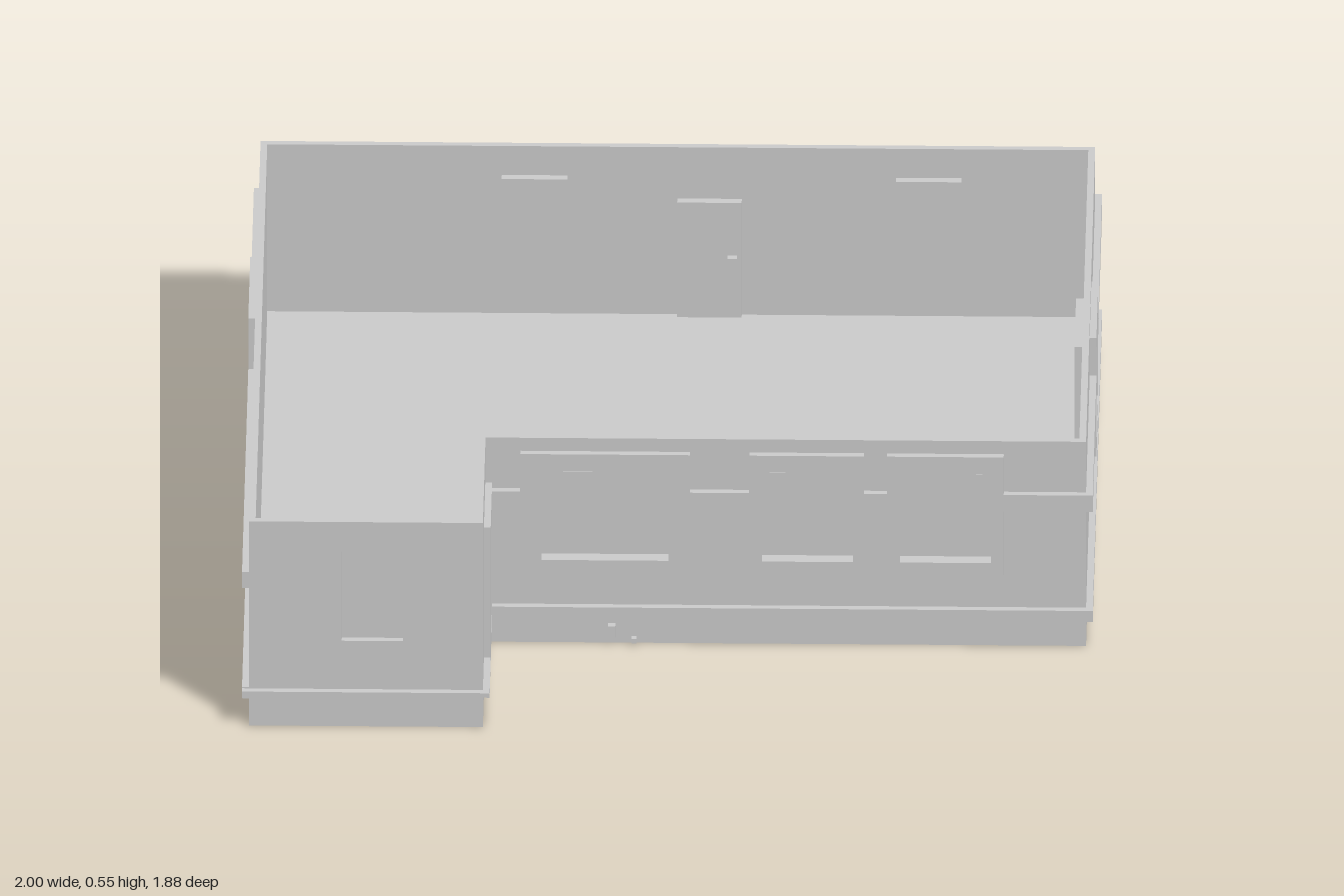
import * as THREE from 'three';

const T = 0.016; // wall thickness and relief of trims and frames
const material = new THREE.MeshStandardMaterial({ color: 0xcccccc, flatShading: true });

function add(parent, name, geometry) {
  const mesh = new THREE.Mesh(geometry, material);
  mesh.name = name;
  parent.add(mesh);
  return mesh;
}

// Box given by its limits
function block(parent, name, x0, x1, y0, y1, z0, z1) {
  const mesh = add(parent, name, new THREE.BoxGeometry(x1 - x0, y1 - y0, z1 - z0));
  mesh.position.set((x0 + x1) / 2, (y0 + y1) / 2, (z0 + z1) / 2);
}

function rectPoints([x0, x1, y0, y1]) {
  return [[x0, y0], [x1, y0], [x1, y1], [x0, y1]].map(([x, y]) => new THREE.Vector2(x, y));
}

// Upright slab with rectangular openings, from z0 outwards by one thickness
function slab(parent, name, rect, holes, z0) {
  const shape = new THREE.Shape(rectPoints(rect));
  for (const h of holes) shape.holes.push(new THREE.Path(rectPoints(h)));
  const geometry = new THREE.ExtrudeGeometry(shape, { depth: T, bevelEnabled: false });
  geometry.translate(0, 0, z0);
  add(parent, name, geometry);
}

// Horizontal band along a wall, interrupted by the frames it meets
function trim(parent, name, u0, u1, y0, y1, frames) {
  let start = u0;
  const gaps = frames.filter((f) => f[2] < y1 && f[3] > y0).sort((a, b) => a[0] - b[0]);
  for (const f of gaps) {
    block(parent, name, start, f[0], y0, y1, 0, T);
    start = f[1];
  }
  block(parent, name, start, u1, y0, y1, 0, T);
}

// One wall with its openings; local x runs along it, local z points outwards
function wall(model, { name, turn, at, span, band, upper, lower, openings = [], panel }) {
  const side = new THREE.Group();
  side.name = name;
  side.rotation.y = turn * Math.PI / 2;
  side.position.set(...at);
  model.add(side);

  slab(side, 'wall', [...span, 0, 0.55], openings.map((o) => o.hole), -T);
  const frames = openings.filter((o) => o.frame).map((o) => o.frame);
  if (panel) frames.push(panel);
  if (upper) trim(side, 'upperTrim', ...band, ...upper, frames);
  if (lower) trim(side, 'lowerTrim', ...band, ...lower, frames);

  for (const { hole, frame, sash, handle } of openings) {
    if (frame) slab(side, 'frame', frame, [hole], 0);
    const [x0, x1, y0, y1] = hole;
    // Pane or door leaf set behind the wall, a little larger than the opening
    block(side, handle ? 'doorLeaf' : 'windowPane', x0 - 0.011, x1 + 0.011, y0 - 0.012, y1 + 0.012, -T - 0.02, -T);
    if (sash) block(side, 'sash', ...sash, -T, -T + 0.006);
    if (handle) block(side, 'doorHandle', ...handle, -T - 0.036, -T + 0.012);
  }
  return side;
}

export function createModel() {
  const model = new THREE.Group();
  model.name = 'house';

  // Floor slab in two rectangles
  block(model, 'mainFloor', -0.97, 0.97, 0.085, 0.1, -0.912, 0.496);
  block(model, 'wingFloor', -0.97, -0.446, 0.085, 0.1, 0.496, 0.912);

  const upper = [0.37, 0.414];
  const lower = [0.073, 0.103];
  const thin = [0.088, 0.1];

  const front = wall(model, {
    name: 'mainFront', turn: 0, at: [0, 0, 0.509], span: [-0.448, 0.984], band: [-0.432, 1], upper, lower,
    openings: [
      { frame: [-0.35, 0.05, 0.195, 0.515], hole: [-0.3, 0, 0.23, 0.47], sash: [-0.28, -0.155, 0.245, 0.455] },
      { frame: [0.19, 0.46, 0.195, 0.515], hole: [0.22, 0.435, 0.23, 0.47], sash: [0.235, 0.275, 0.245, 0.455] },
      { frame: [0.515, 0.79, 0.195, 0.515], hole: [0.545, 0.76, 0.23, 0.47], sash: [0.7, 0.74, 0.245, 0.455] },
    ],
  });
  // Small outlets at the base
  block(front, 'outletBox', -0.143, -0.126, 0.02, 0.052, 0, T);
  block(front, 'outletPipe', -0.088, -0.076, 0.006, 0.018, 0, T);

  wall(model, {
    name: 'wingFront', turn: 0, at: [0, 0, 0.925], span: [-0.984, -0.432], band: [-1, -0.416], lower: thin,
    openings: [{ hole: [-0.765, -0.62, 0.23, 0.47] }],
  });

  // On this turn local x is -z
  wall(model, {
    name: 'wingSide', turn: 1, at: [-0.432, 0, 0], span: [-0.909, -0.509], band: [-0.925, -0.525], lower: thin,
    openings: [{ frame: [-0.767, -0.548, 0.1, 0.45], hole: [-0.72, -0.598, 0.12, 0.4], handle: [-0.72, -0.685, 0.26, 0.275] }],
  });

  wall(model, {
    name: 'leftSide', turn: 1, at: [0.984, 0, 0], span: [-0.493, 0.909], band: [-0.509, 0.925], upper, lower,
    openings: [{ frame: [0.06, 0.333, 0.195, 0.515], hole: [0.09, 0.303, 0.225, 0.468] }],
  });

  // On this turn local x is -x
  wall(model, {
    name: 'back', turn: 2, at: [0, 0, -0.925], span: [-0.984, 0.984], band: [-1, 1], upper, lower,
    openings: [
      { frame: [-0.685, -0.48, 0.26, 0.515], hole: [-0.658, -0.526, 0.295, 0.46] },
      { frame: [-0.165, 0.04, 0.09, 0.45], hole: [-0.14, -0.01, 0.115, 0.4], handle: [-0.14, -0.118, 0.25, 0.27] },
      { frame: [0.245, 0.45, 0.26, 0.515], hole: [0.271, 0.404, 0.295, 0.46] },
    ],
  });

  // On this turn local x is z
  const panel = [-0.36, -0.062, 0, 0.55];
  const right = wall(model, {
    name: 'rightSide', turn: -1, at: [-0.984, 0, 0], span: [-0.909, 0.909], band: [-0.925, 0.925], upper, lower, panel,
  });
  // Full-height raised panel with a slot and a bar in it
  slab(right, 'raisedPanel', panel, [[-0.32, -0.09, 0.25, 0.32]], 0);
  block(right, 'slotBar', -0.32, -0.09, 0.275, 0.29, 0, 0.01);

  return model;
}
